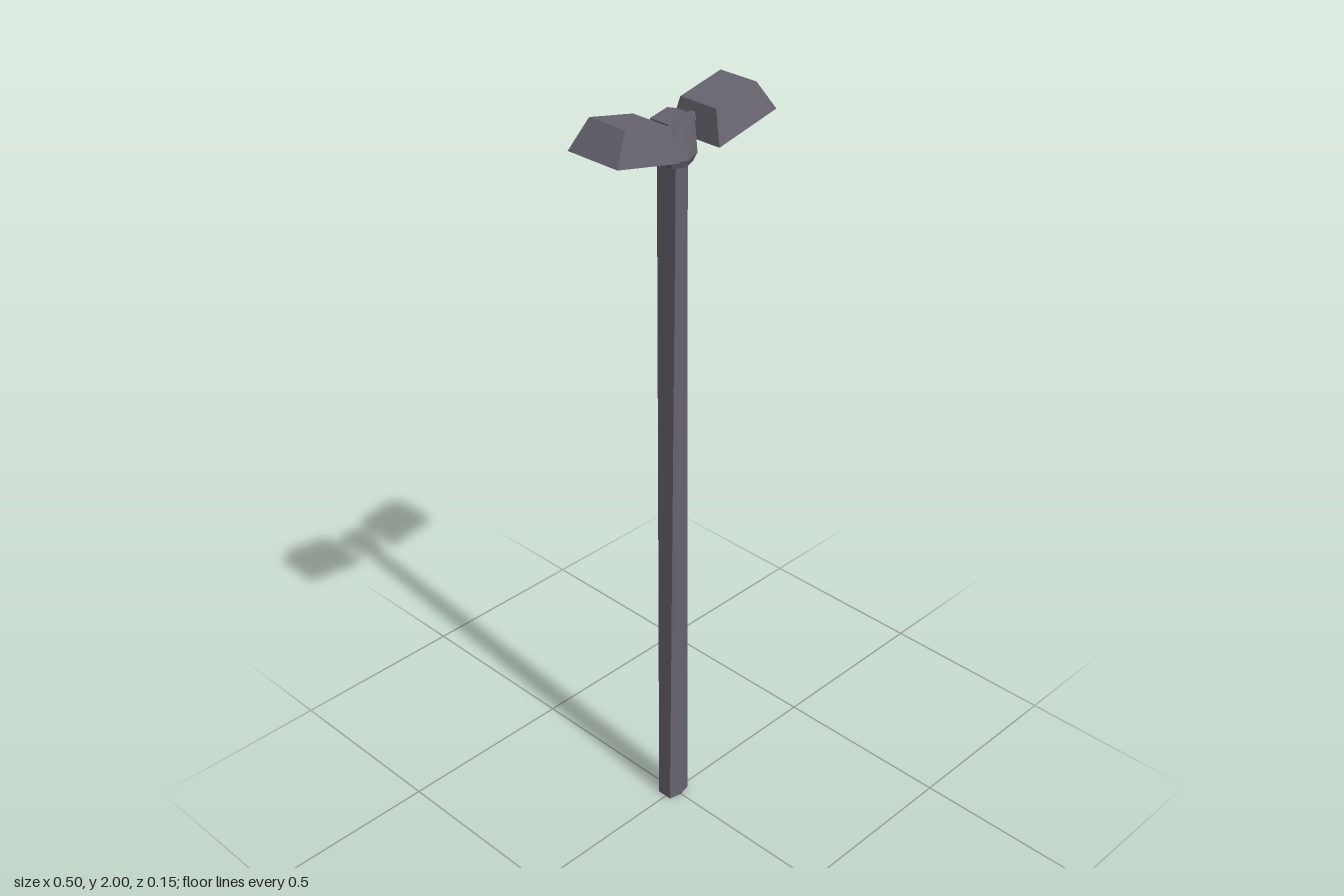
import * as THREE from 'three';

// Skin a stack of closed loops; optional flat caps on the first and last loop.
function loft(loops, capStart, capEnd) {
  const pos = [];
  const tri = (...pts) => pts.forEach((p) => pos.push(...p));
  const n = loops[0].length;
  for (let k = 0; k < loops.length - 1; k++) {
    for (let i = 0; i < n; i++) {
      const j = (i + 1) % n;
      const [a, b, c, d] = [loops[k][i], loops[k][j], loops[k + 1][j], loops[k + 1][i]];
      tri(a, b, c);
      tri(a, c, d);
    }
  }
  const first = loops[0];
  const last = loops[loops.length - 1];
  for (let i = 1; i < n - 1; i++) {
    if (capStart) tri(first[0], first[i + 1], first[i]);
    if (capEnd) tri(last[0], last[i], last[i + 1]);
  }
  const geo = new THREE.BufferGeometry();
  geo.setAttribute('position', new THREE.Float32BufferAttribute(pos, 3));
  geo.computeVertexNormals();
  return geo;
}

// Long hexagon with points at front and back; heights differ at point and side.
function hexLoop(yMid, ySide, x, frontMid, frontSide, backSide, backMid) {
  return [
    [0, yMid, frontMid], [x, ySide, frontSide], [x, ySide, backSide],
    [0, yMid, backMid], [-x, ySide, backSide], [-x, ySide, frontSide],
  ];
}

// Rectangle tilted along x, from its inner edge to its outer edge.
function tiltedRect(x0, y0, x1, y1, z) {
  return [[x0, y0, z], [x1, y1, z], [x1, y1, -z], [x0, y0, -z]];
}

export function createModel() {
  const model = new THREE.Group();
  model.name = 'streetLamp';
  const metal = new THREE.MeshStandardMaterial({ color: 0x67646f });
  metal.name = 'dark grey metal';
  metal.flatShading = true;
  metal.side = THREE.DoubleSide;

  const add = (parent, name, geometry) => {
    const mesh = new THREE.Mesh(geometry, metal);
    mesh.name = name;
    parent.add(mesh);
    return mesh;
  };

  // Tapering post, open at the foot
  add(model, 'post', loft([
    hexLoop(0, 0, 0.035, 0.024, 0.016, -0.026, -0.034),
    hexLoop(1.86, 1.86, 0.019, 0.031, 0.022, -0.037, -0.046),
  ], false, false));

  // Head block with chamfered foot and ridged top
  add(model, 'head', loft([
    hexLoop(1.85, 1.852, 0.033, 0.035, 0.024, -0.042, -0.053),
    hexLoop(1.868, 1.872, 0.042, 0.043, 0.03, -0.05, -0.065),
    hexLoop(1.975, 1.958, 0.042, 0.025, 0.02, -0.035, -0.023),
  ], true, true));

  // Two arms with lamp housings, the second turned half round
  for (const side of ['left', 'right']) {
    const sign = side === 'left' ? 1 : -1;

    const armGeo = new THREE.CylinderGeometry(1, 1, 0.06, 6);
    armGeo.scale(0.019, 1, 0.011);
    armGeo.rotateZ(Math.PI / 2);
    armGeo.translate(sign * 0.06, 1.933, -0.012);
    add(model, side + 'Arm', armGeo);

    const lamp = add(model, side + 'Lamp', loft([
      tiltedRect(0.079, 1.916, 0.215, 1.945, 0.053), // recess floor
      tiltedRect(0.078, 1.893, 0.235, 1.927, 0.064), // inner rim
      tiltedRect(0.063, 1.89, 0.25, 1.93, 0.077), // outer rim
      tiltedRect(0.074, 1.972, 0.205, 2.0, 0.055), // top
    ], true, true));
    if (sign < 0) lamp.rotation.y = Math.PI;
  }

  return model;
}
